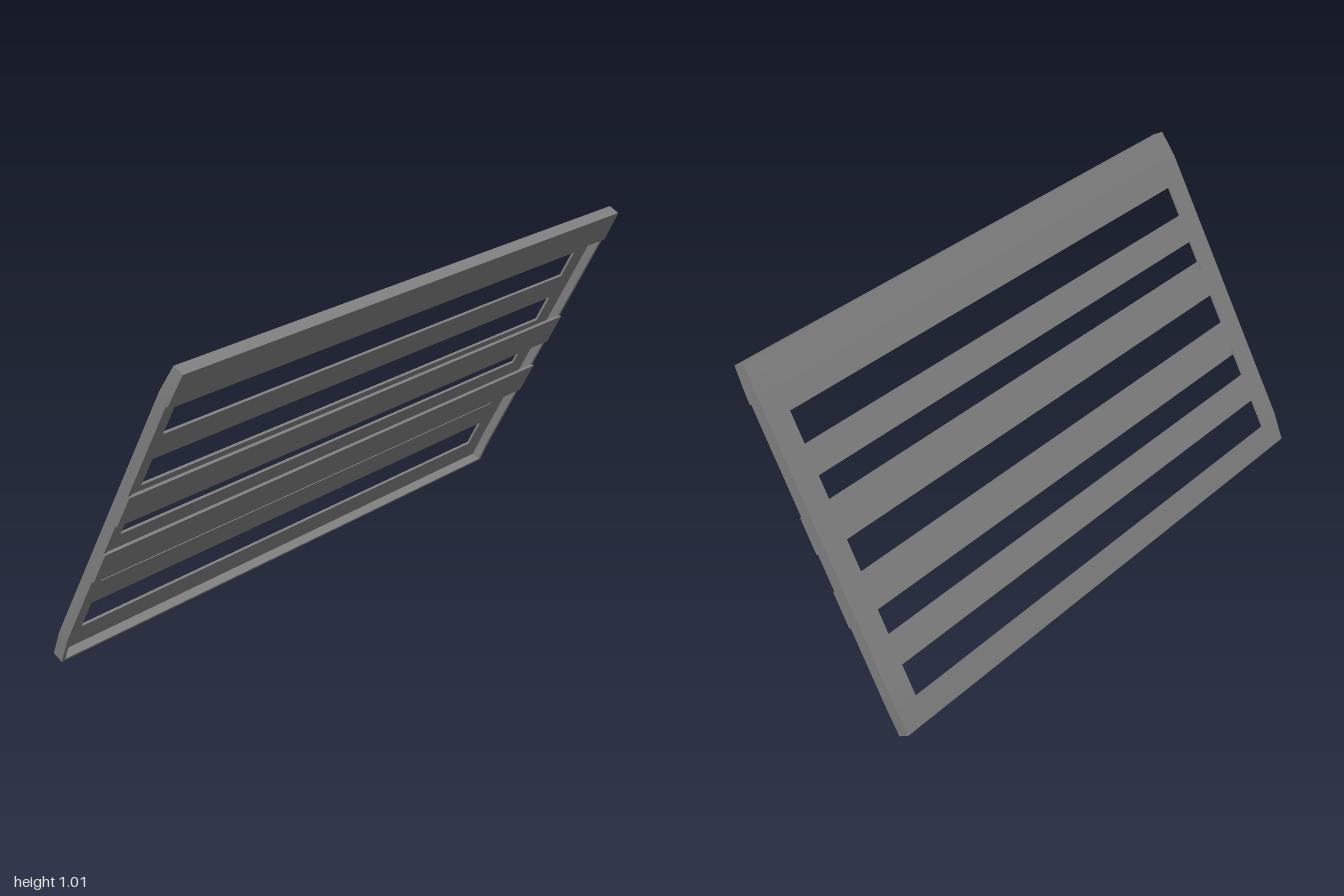
import * as THREE from 'three';

// Panel frame: t runs 0 (bottom) to 1 (top) along the slope, d is depth from the back skin to the front.
const BOTTOM = { y: 0.017, z: -0.279 }, TOP = { y: 1.013, z: 0.247 };
const DEPTH = 0.037, SKIN = 0.008, HALF = 1, SLOT_HALF = 0.917;
const dy = TOP.y - BOTTOM.y, dz = TOP.z - BOTTOM.z, len = Math.hypot(dy, dz);
const dir = { y: dy / len, z: dz / len };

export function createModel() {
  const model = new THREE.Group();
  model.name = 'slattedPanel';
  const grey = new THREE.MeshStandardMaterial({ color: 0x808080 });
  grey.name = 'grey';

  // Box given in panel coordinates; crowned boxes follow the gentle bend near both ends.
  function slab(name, x0, x1, t0, t1, d0, d1, crowned = true) {
    const segments = Math.max(1, Math.round((t1 - t0) / 0.04));
    const geo = new THREE.BoxGeometry(x1 - x0, t1 - t0, d1 - d0, 1, segments, 1);
    geo.translate((x0 + x1) / 2, (t0 + t1) / 2, (d0 + d1) / 2);
    const p = geo.attributes.position;
    for (let i = 0; i < p.count; i++) {
      const t = p.getY(i);
      const bend = Math.max(0, Math.min(1, t / 0.08, (1 - t) / 0.08));
      const d = p.getZ(i) - (crowned ? 0.006 * bend : 0);
      p.setXYZ(i, p.getX(i) * (0.993 + 0.007 * bend),
        BOTTOM.y + dy * t - dir.z * d,
        BOTTOM.z + dz * t + dir.y * d);
    }
    geo.computeVertexNormals();
    const mesh = new THREE.Mesh(geo, grey);
    mesh.name = name;
    model.add(mesh);
  }

  // Back skin: slats left between five evenly spaced slots
  const pitch = 0.1717, slot = 0.089, first = 0.071;
  let from = 0;
  for (let i = 0; i <= 5; i++) {
    const to = i < 5 ? first + i * pitch : 1;
    slab('slat' + (i + 1), -SLOT_HALF, SLOT_HALF, from, to, 0, SKIN);
    from = to + slot;
  }

  // Side rails of the skin and their thin forward flanges
  for (const [side, s] of [['left', 1], ['right', -1]]) {
    const span = (a, b) => (s > 0 ? [a, b] : [-b, -a]);
    slab(side + 'Rail', ...span(SLOT_HALF, HALF), 0, 1, 0, SKIN);
    slab(side + 'Flange', ...span(HALF - 0.012, HALF), 0, 1, SKIN, DEPTH);
  }

  // Bottom and top flanges
  slab('bottomFlange', -HALF + 0.012, HALF - 0.012, 0, 0.006, SKIN, DEPTH);
  slab('topFlange', -HALF + 0.012, HALF - 0.012, 0.994, 1, SKIN, DEPTH);

  // Flat cross straps on the front
  slab('lowerStrap', -HALF, HALF, 0.302, 0.402, DEPTH - 0.009, DEPTH, false);
  slab('middleStrap', -HALF, HALF, 0.502, 0.602, DEPTH - 0.009, DEPTH, false);
  slab('topStrap', -HALF, HALF, 0.9, 1, DEPTH - 0.009, DEPTH, false);

  return model;
}
